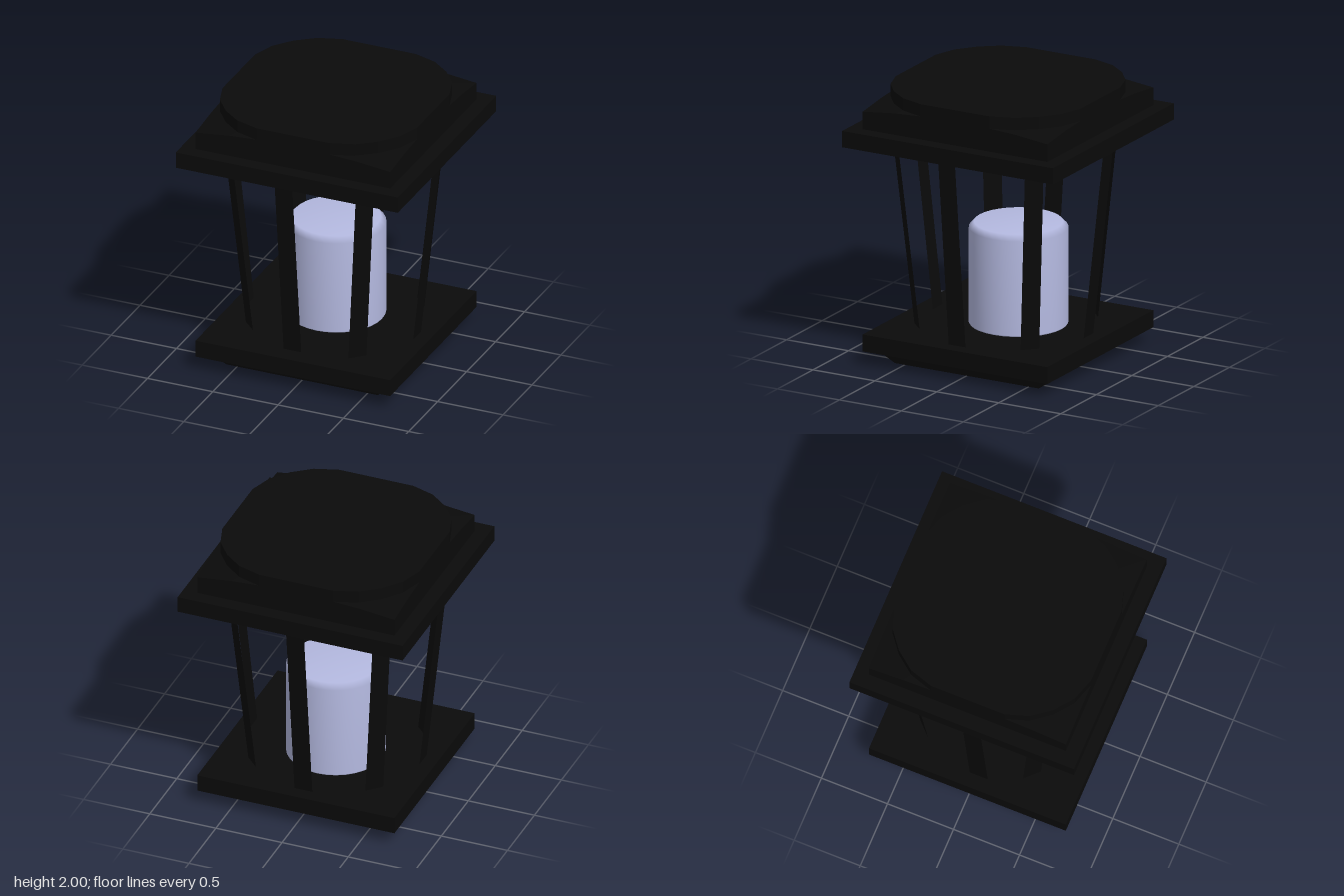
import * as THREE from 'three';

const dark = new THREE.MeshStandardMaterial({ color: 0x0a0a0a, flatShading: true, side: THREE.DoubleSide });
const wax = new THREE.MeshStandardMaterial({ color: 0xb4b9e0 });

function add(group, name, geometry, material) {
  const mesh = new THREE.Mesh(geometry, material);
  mesh.name = name;
  group.add(mesh);
  return mesh;
}

// Square solid from a profile of [half width, y]
function squareLathe(profile) {
  const points = profile.map(([h, y]) => new THREE.Vector2(h * Math.SQRT2, y));
  return new THREE.LatheGeometry(points, 4, Math.PI / 4);
}

// Square block whose upper corners slope up to a rounded-square drum
function capGeometry() {
  const half = 0.745;
  const quarter = [[0.745, 0.28], [0.69, 0.45], [0.585, 0.585], [0.45, 0.69], [0.28, 0.745]];
  const outline = [];
  for (let q = 0; q < 4; q++) {
    const c = Math.round(Math.cos(q * Math.PI / 2)), s = Math.round(Math.sin(q * Math.PI / 2));
    for (const [x, z] of quarter) outline.push([x * c - z * s, x * s + z * c]);
  }
  const n = outline.length, positions = [], index = [];
  const square = outline.map(([x, z]) => {
    const k = half / Math.max(Math.abs(x), Math.abs(z));
    return [x * k, z * k, Math.hypot(x, z) * (k - 1)];
  });
  square.forEach(([x, z]) => positions.push(x, 1.74, z));
  square.forEach(([x, z, d]) => positions.push(x, 1.91 - 0.18 * d, z));
  outline.forEach(([x, z]) => positions.push(x, 1.91, z));
  outline.forEach(([x, z]) => positions.push(x, 2, z));
  positions.push(0, 2, 0);
  for (let i = 0; i < n; i++) {
    const j = (i + 1) % n;
    for (let r = 0; r < 3; r++) {
      const a = r * n + i, b = r * n + j;
      index.push(a, a + n, b, b, a + n, b + n);
    }
    index.push(4 * n, 3 * n + j, 3 * n + i);
  }
  const g = new THREE.BufferGeometry();
  g.setAttribute('position', new THREE.Float32BufferAttribute(positions, 3));
  g.setIndex(index);
  g.computeVertexNormals();
  return g;
}

// Flat leaning slat between a top and a bottom centre, facing the given angle
function slatGeometry([tx, tz], [bx, bz], angle) {
  const w = 0.0675, dx = Math.cos(angle) * w, dz = -Math.sin(angle) * w;
  const g = new THREE.PlaneGeometry(1, 1);
  const p = g.attributes.position;
  [[tx, 1.63, tz, -1], [tx, 1.63, tz, 1], [bx, 0.225, bz, -1], [bx, 0.225, bz, 1]]
    .forEach(([x, y, z, s], i) => p.setXYZ(i, x + s * dx, y, z + s * dz));
  g.computeVertexNormals();
  return g;
}

export function createModel() {
  const lantern = new THREE.Group();
  lantern.name = 'lantern';

  // Base slab with a tapered foot
  add(lantern, 'base', squareLathe([[0, 0], [0.58, 0], [0.66, 0.095], [0.745, 0.105], [0.745, 0.23], [0, 0.23]]), dark);

  // Roof plate and cap
  const plate = add(lantern, 'roofPlate', new THREE.BoxGeometry(1.7, 0.12, 1.7), dark);
  plate.position.y = 1.68;
  add(lantern, 'cap', capGeometry(), dark);

  // Ring of eight thin slats, each [top x/z, bottom x/z]
  const slats = [
    [[-0.065, 0.765], [-0.065, 0.605]],
    [[0.5, 0.625], [0.39, 0.51]],
    [[0.79, 0.043], [0.64, 0.043]],
    [[0.573, -0.542], [0.455, -0.438]],
    [[-0.015, -0.8], [-0.015, -0.64]],
    [[-0.57, -0.542], [-0.468, -0.438]],
    [[-0.79, 0.043], [-0.64, 0.043]],
    [[-0.61, 0.49], [-0.492, 0.385]],
  ];
  const cage = new THREE.Group();
  cage.name = 'cage';
  slats.forEach(([top, bottom], i) => add(cage, 'slat' + (i + 1), slatGeometry(top, bottom, i * Math.PI / 4), dark));
  lantern.add(cage);

  // Candle with a bevelled top edge
  const profile = [[0, 0.237], [0.345, 0.237], [0.35, 0.245], [0.35, 0.94], [0.312, 0.98], [0, 0.98]];
  const candle = add(lantern, 'candle',
    new THREE.LatheGeometry(profile.map(([r, y]) => new THREE.Vector2(r, y)), 32), wax);
  candle.position.set(-0.027, 0, -0.07);

  return lantern;
}
